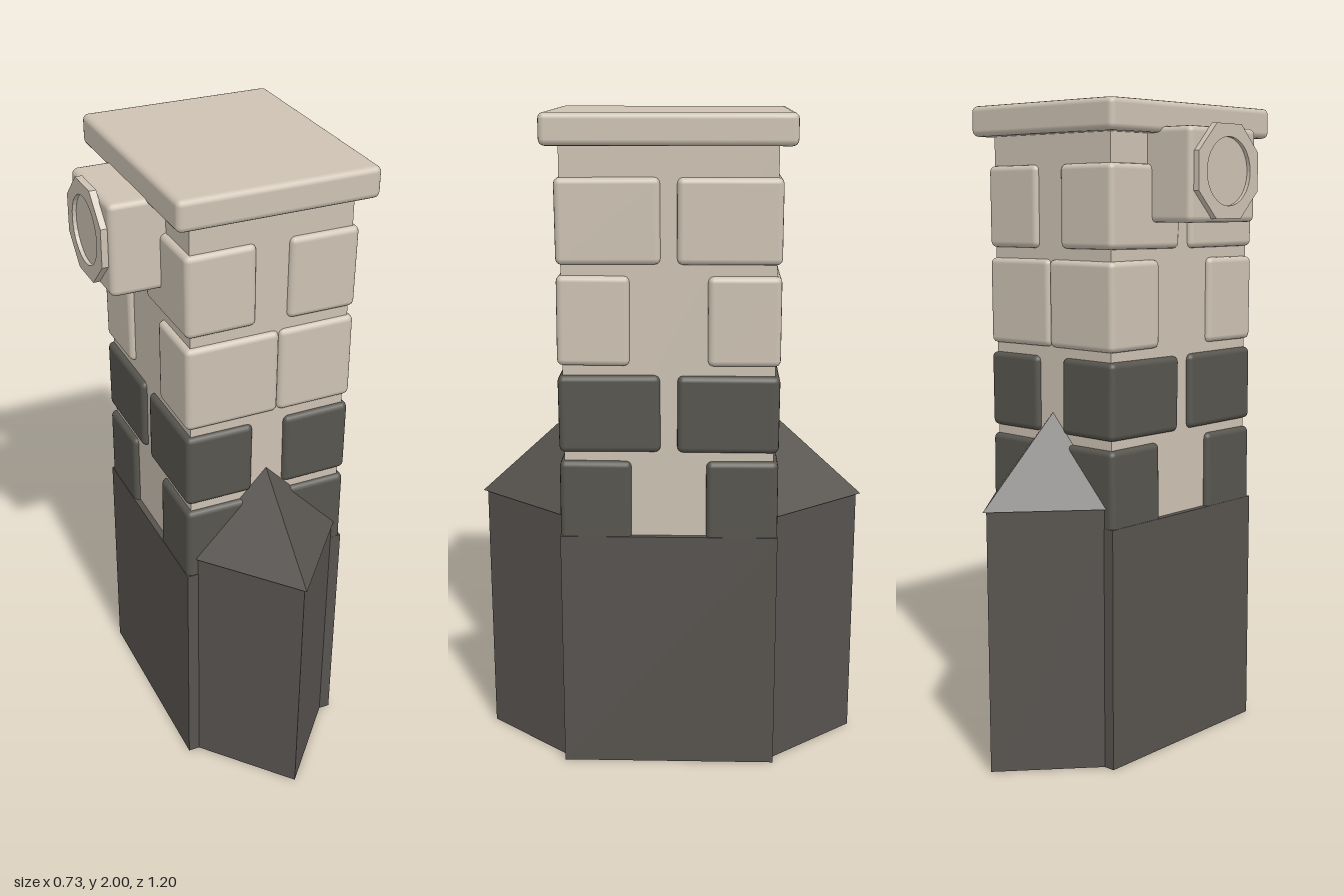
import * as THREE from 'three';
import { RoundedBoxGeometry } from 'three/addons/geometries/RoundedBoxGeometry.js';

export function createModel() {
  const root = new THREE.Group();
  root.name = 'stonePillar';
  const CX = 0.0625; // pillar axis

  const mat = (name, color, extra = {}) => {
    const m = new THREE.MeshStandardMaterial({ color, ...extra });
    m.name = name;
    return m;
  };
  const beige = mat('paleStone', 0xcdc2b3);
  const dark = mat('darkStone', 0x57554e);
  const plinth = mat('plinthStone', 0x57534f, { flatShading: true, side: THREE.DoubleSide });

  const add = (name, geo, material, x, y, z, parent = root) => {
    const mesh = new THREE.Mesh(geo, material);
    mesh.name = name;
    mesh.position.set(x, y, z);
    parent.add(mesh);
    return mesh;
  };

  // Plinth, core and cap
  add('plinth', new THREE.BoxGeometry(0.532, 0.75, 0.656), plinth, CX, 0.375, 0);
  add('core', new THREE.BoxGeometry(0.494, 1.2, 0.624), beige, CX, 1.33, 0);
  add('cap', new RoundedBoxGeometry(0.602, 0.092, 0.726, 2, 0.018), beige, CX, 1.954, 0);

  // Pointed buttresses on the front and back, open underneath
  for (const s of [1, -1]) {
    const g = new THREE.Group();
    g.name = s > 0 ? 'frontButtress' : 'backButtress';
    g.position.set(CX, 0, s * 0.3);
    root.add(g);
    const shaft = add('buttressShaft', new THREE.CylinderGeometry(0.288, 0.288, 0.81, 4, 1, true), plinth, 0, 0.405, 0, g);
    shaft.scale.x = 0.255 / 0.288;
    const roof = add('buttressRoof', new THREE.ConeGeometry(0.302, 0.277, 4, 1), plinth, 0, 0.9475, 0, g);
    roof.scale.x = 0.262 / 0.302;
  }

  // Corner blocks, four to a row: bottom, top, width in x, length in z
  const rows = [
    [0.72, 0.985, 0.262, 0.215, dark],
    [1.012, 1.246, 0.213, 0.302, dark],
    [1.275, 1.54, 0.264, 0.213, beige],
    [1.572, 1.82, 0.214, 0.303, beige],
  ];
  rows.forEach(([y0, y1, w, d, material], r) => {
    const row = new THREE.Group();
    row.name = 'blockRow' + (r + 1);
    root.add(row);
    for (const sx of [1, -1]) for (const sz of [1, -1]) {
      // the staggered long blocks overlap near the middle of the front
      const width = w + (r % 2 === 0 && sz > 0 ? -sx * 0.026 : 0);
      const block = add('cornerBlock', new RoundedBoxGeometry(width, y1 - y0, d, 2, 0.018), material,
        CX + sx * (0.264 - width / 2), (y0 + y1) / 2, sz * (0.327 - d / 2), row);
      // slight uneven laying
      block.rotation.z = 0.007 * Math.sin(r * 5 + sx * 2 + sz);
      block.rotation.x = 0.007 * Math.cos(r * 3 + sx + sz * 2);
    }
  });

  // Side housing with an octagonal frame around a round recess
  add('sideHousing', new RoundedBoxGeometry(0.22, 0.276, 0.305, 2, 0.018), beige, -0.239, 1.788, -0.002);
  const octagon = new THREE.Shape();
  for (let i = 0; i < 8; i++) {
    const a = (i + 0.5) * Math.PI / 4, R = 0.137 / Math.cos(Math.PI / 8);
    octagon[i ? 'lineTo' : 'moveTo'](R * Math.cos(a), R * Math.sin(a));
  }
  octagon.closePath();
  const hole = new THREE.Path();
  hole.absarc(0, 0, 0.1, 0, Math.PI * 2, true);
  octagon.holes.push(hole);
  const frame = add('sideFrame',
    new THREE.ExtrudeGeometry(octagon, { depth: 0.021, bevelEnabled: false, curveSegments: 16 }),
    beige, -0.347, 1.798, -0.002);
  frame.rotation.y = -Math.PI / 2;
  const disc = add('sideDisc', new THREE.CircleGeometry(0.102, 32), beige, -0.356, 1.798, -0.002);
  disc.rotation.y = -Math.PI / 2;

  return root;
}
